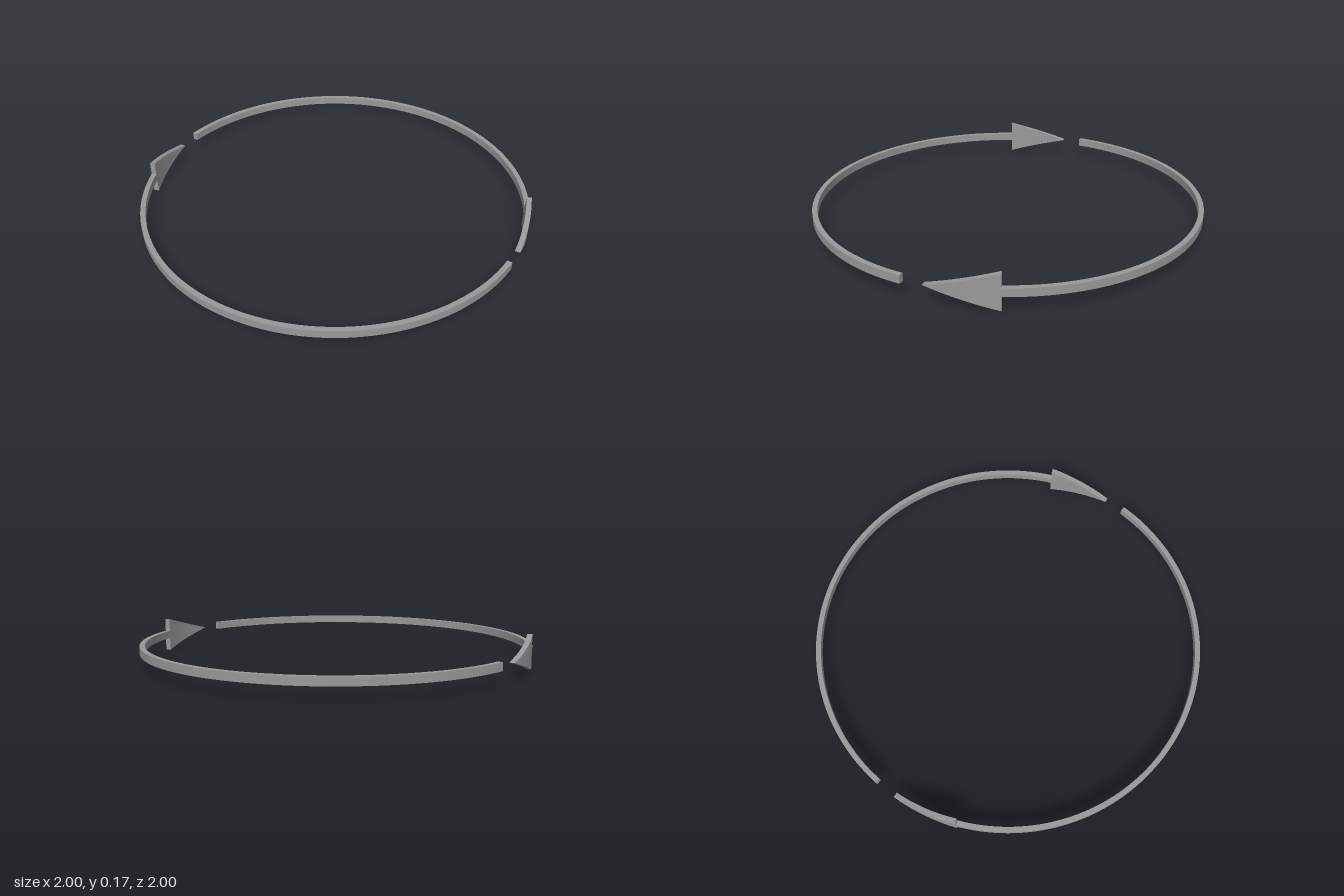
import * as THREE from 'three';

const RADIUS = 0.987;      // middle of the band
const THICKNESS = 0.026;   // radial depth of band and heads
const CENTRE_Y = 0.0875;
const BAND_HEIGHT = 0.04;
const HEAD_HEIGHT = 0.175;

// Bends a subdivided box around the y axis, tapering its height along the arc
function bentBar(startDeg, endDeg, startHeight, endHeight, segments) {
  const geometry = new THREE.BoxGeometry(1, 1, 1, segments, 1, 1);
  const pos = geometry.attributes.position;
  for (let i = 0; i < pos.count; i++) {
    const t = pos.getX(i) + 0.5;
    const angle = THREE.MathUtils.degToRad(THREE.MathUtils.lerp(startDeg, endDeg, t));
    const height = THREE.MathUtils.lerp(startHeight, endHeight, t);
    const r = RADIUS - pos.getZ(i) * THICKNESS;
    pos.setXYZ(i, r * Math.cos(angle), CENTRE_Y + pos.getY(i) * height, r * Math.sin(angle));
  }
  geometry.computeVertexNormals();
  return geometry;
}

export function createModel() {
  const model = new THREE.Group();
  model.name = 'circularArrows';
  const material = new THREE.MeshStandardMaterial({ color: 0x999999 });

  const shaftGeometry = bentBar(66.2, 220.5, BAND_HEIGHT, BAND_HEIGHT, 96);
  const headGeometry = bentBar(220.5, 240, HEAD_HEIGHT, 0.001, 16);

  // Two identical curved arrows, half a turn apart
  ['leftToBackArrow', 'rightToFrontArrow'].forEach((name, i) => {
    const arrow = new THREE.Group();
    arrow.name = name;

    const shaft = new THREE.Mesh(shaftGeometry, material);
    shaft.name = 'arrowShaft';
    const head = new THREE.Mesh(headGeometry, material);
    head.name = 'arrowHead';

    arrow.add(shaft, head);
    arrow.rotation.y = i * Math.PI;
    model.add(arrow);
  });

  return model;
}
